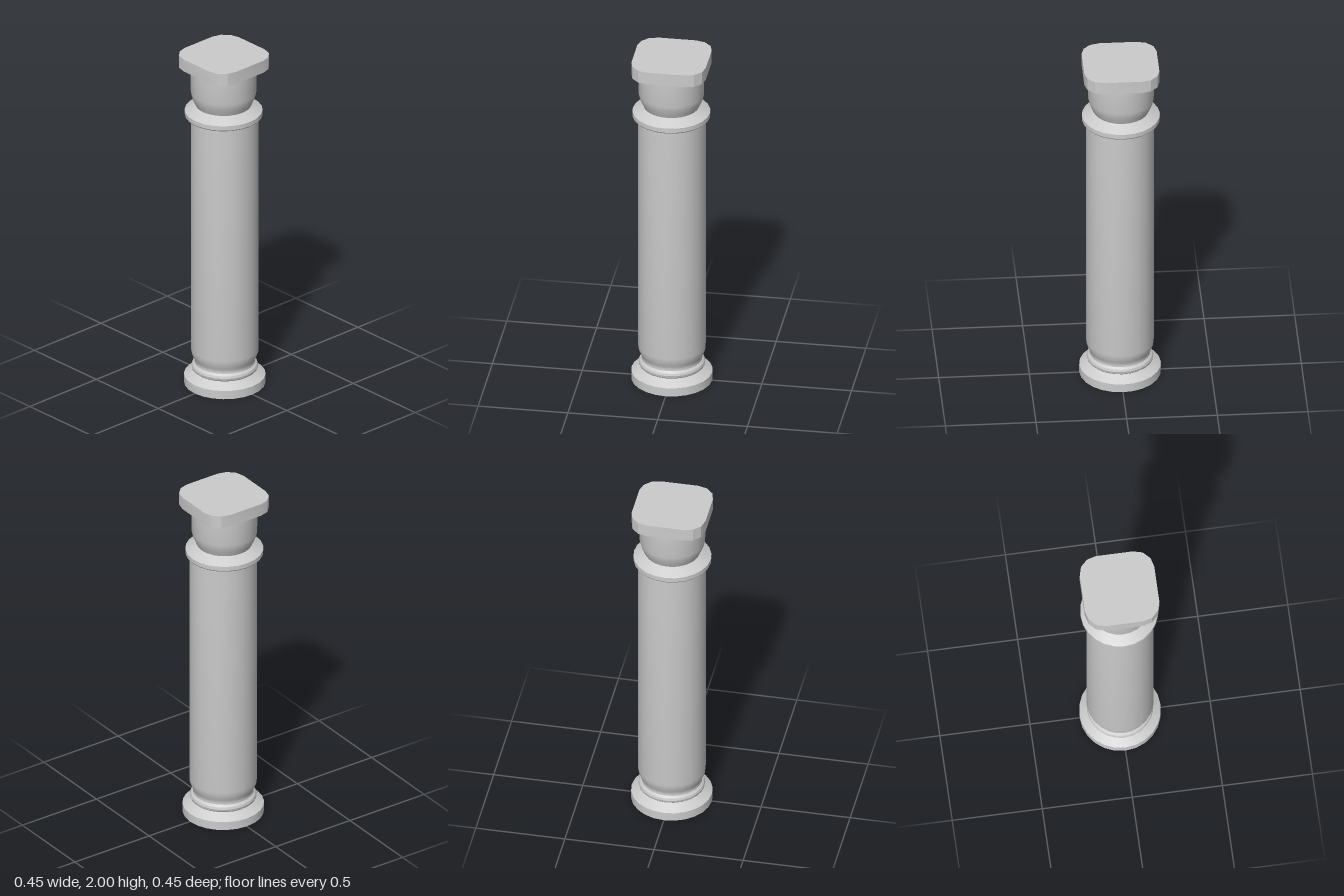
import * as THREE from 'three';
import { toCreasedNormals } from 'three/addons/utils/BufferGeometryUtils.js';

const material = new THREE.MeshStandardMaterial({ color: 0xcccccc });

function addPart(group, name, geometry, x = 0, z = 0) {
  const mesh = new THREE.Mesh(toCreasedNormals(geometry, 0.45), material);
  mesh.name = name;
  mesh.position.set(x, 0, z);
  group.add(mesh);
  return mesh;
}

// Turned part from [radius, height] pairs, listed bottom to top
function turned(profile) {
  return new THREE.LatheGeometry(profile.map(([r, y]) => new THREE.Vector2(r, y)), 24);
}

// Square slab with rounded corners, standing on y = 0
function roundedSlab(half, radius, height) {
  const shape = new THREE.Shape();
  const c = half - radius;
  [[c, c], [-c, c], [-c, -c], [c, -c]].forEach(([x, y], i) => {
    for (let k = 0; k <= 3; k++) {
      const a = (i + k / 3) * Math.PI / 2;
      const px = x + radius * Math.cos(a), py = y + radius * Math.sin(a);
      if (i + k === 0) shape.moveTo(px, py); else shape.lineTo(px, py);
    }
  });
  shape.closePath();
  return new THREE.ExtrudeGeometry(shape, { depth: height, bevelEnabled: false }).rotateX(-Math.PI / 2);
}

export function createModel() {
  const group = new THREE.Group();
  group.name = 'column';

  // Round plinth with a sloped top
  addPart(group, 'base', turned([[0, 0], [0.225, 0], [0.225, 0.05], [0.17, 0.085], [0, 0.085]]));

  // Rounded ring above the plinth
  addPart(group, 'baseRing', turned([
    [0, 0.083], [0.172, 0.083], [0.181, 0.091], [0.184, 0.104], [0.18, 0.117], [0.169, 0.128], [0, 0.128],
  ]));

  // Shaft, tapering in at its foot
  addPart(group, 'shaft', turned([
    [0, 0.126], [0.168, 0.126], [0.167, 0.142], [0.174, 0.16], [0.184, 0.185], [0.187, 0.21],
    [0.187, 1.635], [0, 1.635],
  ]));

  // Collar with a sloped top
  addPart(group, 'collar', turned([
    [0, 1.63], [0.21, 1.63], [0.215, 1.637], [0.215, 1.663], [0.152, 1.697], [0, 1.697],
  ]), -0.005, 0.004);

  // Bell of the capital
  addPart(group, 'capital', turned([
    [0, 1.693], [0.152, 1.693], [0.164, 1.72], [0.175, 1.748], [0.181, 1.775], [0.182, 1.93], [0, 1.93],
  ]), -0.006, 0.004);

  // Rounded square top slab
  addPart(group, 'abacus', roundedSlab(0.207, 0.104, 0.073), -0.003, 0.003).position.y = 1.927;

  return group;
}
